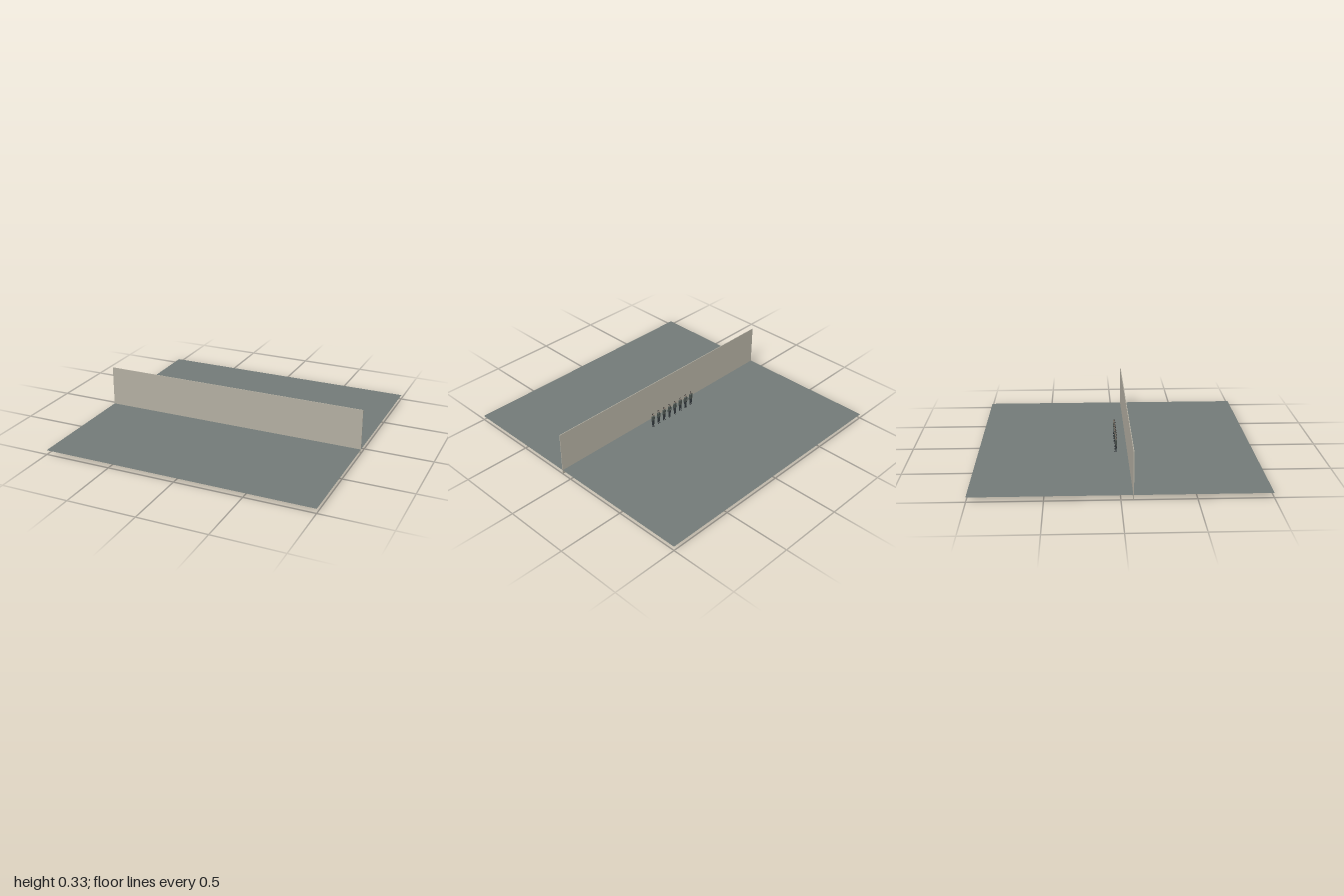
import * as THREE from 'three';

const material = (name, color, side = THREE.FrontSide) => {
  const m = new THREE.MeshStandardMaterial({ color, side });
  m.name = name;
  return m;
};

export function createModel() {
  const model = new THREE.Group();
  const ground = material('groundGrey', 0x727a77, THREE.DoubleSide);
  const plaster = material('wallBeige', 0xb3aea1);
  const skin = material('skin', 0x8a7d70);
  const hair = material('hair', 0x2a2826);
  const jacket = material('jacket', 0x4a524e);
  const trousers = material('trousers', 0x30363a);
  const shoeLeather = material('shoeLeather', 0x202328);

  const add = (parent, name, geometry, mat, x, y, z) => {
    const mesh = new THREE.Mesh(geometry, mat);
    mesh.name = name;
    mesh.position.set(x, y, z);
    parent.add(mesh);
    return mesh;
  };

  // Ground sheet and the wall passing just through it
  const floorY = 0.033;
  add(model, 'ground', new THREE.PlaneGeometry(2, 2), ground, 0, floorY, 0).rotation.x = -Math.PI / 2;
  add(model, 'wall', new THREE.BoxGeometry(2, 0.333, 0.005), plaster, 0, 0.1665, 0.083);

  // Shared body parts, in metres; figures face -z
  const torsoShape = new THREE.LatheGeometry([
    [0, 0.82], [0.17, 0.82], [0.165, 0.95], [0.155, 1.08], [0.185, 1.3],
    [0.19, 1.4], [0.13, 1.46], [0.055, 1.49], [0, 1.49],
  ].map(([x, y]) => new THREE.Vector2(x, y)), 14).scale(1, 1, 0.62);
  const headShape = new THREE.SphereGeometry(0.105, 14, 10).scale(0.85, 1.2, 0.98);
  const hairShape = new THREE.SphereGeometry(0.112, 14, 6, 0, Math.PI * 2, 0, Math.PI * 0.48).scale(0.86, 1.16, 1);
  const neckShape = new THREE.CylinderGeometry(0.05, 0.055, 0.12, 10);
  const upperArm = new THREE.CylinderGeometry(0.058, 0.046, 0.32, 10);
  const forearm = new THREE.CylinderGeometry(0.046, 0.035, 0.28, 10);
  const handShape = new THREE.SphereGeometry(0.045, 8, 6).scale(0.7, 1.5, 0.9);
  const legShape = new THREE.CylinderGeometry(0.088, 0.052, 0.8, 10);
  const shoeShape = new THREE.SphereGeometry(0.06, 10, 6).scale(0.8, 0.7, 2);

  const buildFigure = (girth) => {
    const figure = new THREE.Group();
    add(figure, 'torso', torsoShape, jacket, 0, 0, 0).scale.x = girth;
    add(figure, 'neck', neckShape, skin, 0, 1.5, 0);
    add(figure, 'head', headShape, skin, 0, 1.62, -0.01);
    add(figure, 'hair', hairShape, hair, 0, 1.63, 0.01).rotation.x = 0.3;
    for (const s of [-1, 1]) {
      const arm = new THREE.Group();
      arm.name = s > 0 ? 'leftArm' : 'rightArm';
      arm.position.set(s * 0.195 * girth, 1.4, 0);
      arm.rotation.z = s * 0.14;
      add(arm, 'shoulder', new THREE.SphereGeometry(0.06, 10, 8), jacket, 0, 0, 0);
      add(arm, 'upperArm', upperArm, jacket, 0, -0.15, 0);
      add(arm, 'forearm', forearm, jacket, 0, -0.43, 0);
      add(arm, 'hand', handShape, skin, 0, -0.6, 0);
      figure.add(arm);
      add(figure, 'leg', legShape, trousers, s * 0.095 * girth, 0.46, 0);
      add(figure, 'shoe', shoeShape, shoeLeather, s * 0.1 * girth, 0.042, -0.05);
    }
    return figure;
  };

  // Row of eight people behind the wall, slightly slimmer towards +x
  const row = new THREE.Group();
  row.name = 'peopleRow';
  for (let i = 0; i < 8; i++) {
    const figure = buildFigure(1.08 - i * 0.04);
    figure.name = 'person' + (i + 1);
    figure.position.set(-0.2 + (i * 0.4) / 7, floorY, 0);
    figure.scale.setScalar(0.0655);
    row.add(figure);
  }
  model.add(row);
  return model;
}
